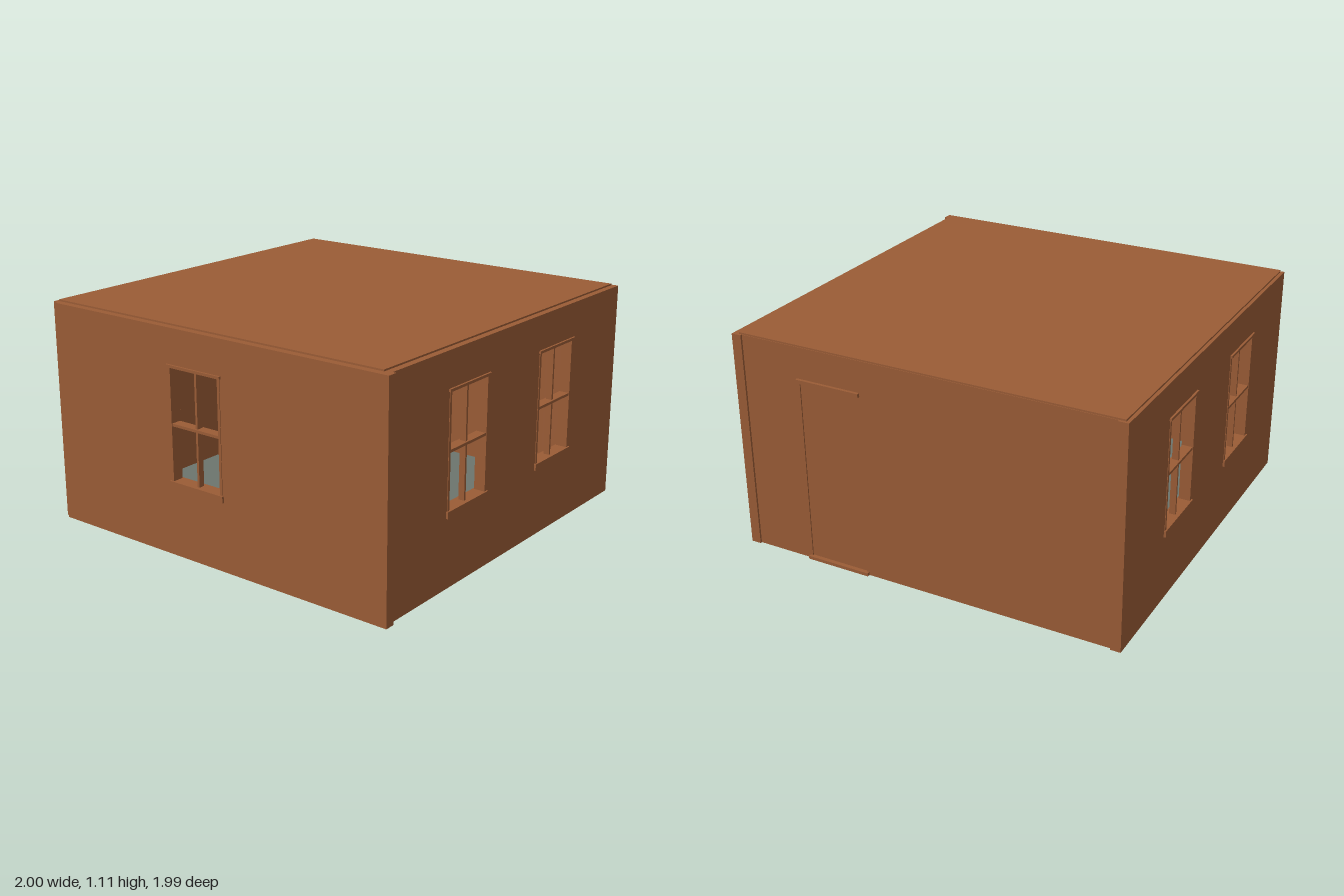
import * as THREE from 'three';

const H = 1.1, T = 0.05; // wall height and thickness

export function createModel() {
  const brown = new THREE.MeshStandardMaterial({ color: 0x9a5c36 });
  brown.name = 'brown wood';
  const grey = new THREE.MeshStandardMaterial({ color: 0x6c756d });
  grey.name = 'grey floor';

  // box given by its lower and upper corners
  function box(parent, name, x0, x1, y0, y1, z0, z1, mat = brown) {
    const m = new THREE.Mesh(new THREE.BoxGeometry(x1 - x0, y1 - y0, z1 - z0), mat);
    m.position.set((x0 + x1) / 2, (y0 + y1) / 2, (z0 + z1) / 2);
    m.name = name;
    parent.add(m);
  }

  // wall in the local xy plane, outer face at z = 0, thickness going to -z
  function wall(name, x0, x1, windows, door) {
    const g = new THREE.Group();
    g.name = name;
    const s = new THREE.Shape();
    s.moveTo(x0, 0);
    if (door !== undefined) {
      s.lineTo(door - 0.155, 0);
      s.lineTo(door - 0.155, 0.925);
      s.lineTo(door + 0.155, 0.925);
      s.lineTo(door + 0.155, 0);
    }
    s.lineTo(x1, 0);
    s.lineTo(x1, H);
    s.lineTo(x0, H);
    s.closePath();
    for (const c of windows) {
      const hole = new THREE.Path();
      hole.moveTo(c - 0.155, 0.36);
      hole.lineTo(c - 0.155, 0.925);
      hole.lineTo(c + 0.155, 0.925);
      hole.lineTo(c + 0.155, 0.36);
      hole.closePath();
      s.holes.push(hole);
    }
    const geo = new THREE.ExtrudeGeometry(s, { depth: T, bevelEnabled: false });
    geo.translate(0, 0, -T);
    const panel = new THREE.Mesh(geo, brown);
    panel.name = name + 'Panel';
    g.add(panel);
    windows.forEach((c) => addWindow(g, c));
    if (door !== undefined) addDoor(g, door);
    return g;
  }

  // frame, sill, head and crossed glazing bars
  function addWindow(parent, c) {
    const w = new THREE.Group();
    w.name = 'window';
    w.position.x = c;
    for (const s of [-1, 1]) {
      const a = s * 0.143, b = s * 0.157;
      box(w, 'windowJamb', Math.min(a, b), Math.max(a, b), 0.36, 0.925, -T - 0.003, 0.003);
    }
    box(w, 'windowHead', -0.163, 0.163, 0.917, 0.93, -T - 0.01, 0.01);
    box(w, 'windowSill', -0.163, 0.163, 0.34, 0.372, -T - 0.01, 0.01);
    box(w, 'verticalBar', -0.006, 0.006, 0.37, 0.92, -0.04, -0.01);
    box(w, 'horizontalBar', -0.145, 0.145, 0.638, 0.651, -0.05, 0);
    parent.add(w);
  }

  // door leaf, head moulding and threshold
  function addDoor(parent, c) {
    const d = new THREE.Group();
    d.name = 'door';
    d.position.x = c;
    box(d, 'doorLeaf', -0.155, 0.155, 0.012, 0.925, -T + 0.006, -0.006);
    box(d, 'doorHead', -0.168, 0.168, 0.925, 0.945, -T - 0.01, 0.015);
    box(d, 'doorThreshold', -0.168, 0.168, 0, 0.016, -T - 0.01, 0.015);
    parent.add(d);
  }

  const model = new THREE.Group();
  model.name = 'room';

  const front = wall('frontWall', -0.965, 1, [-0.065]);
  front.position.z = 0.985;

  const left = wall('leftWall', -0.935, 0.99, [-0.365, 0.385]);
  left.rotation.y = Math.PI / 2;
  left.position.x = 0.982;

  const right = wall('rightWall', -0.99, 0.968, [0.365, -0.385]);
  right.rotation.y = -Math.PI / 2;
  right.position.x = -0.992;

  const back = wall('backWall', -0.932, 0.942, [], -0.47);
  back.rotation.y = Math.PI;
  back.position.z = -0.98;

  model.add(front, left, right, back);

  // roof slab standing just proud of the walls, and the recessed floor
  box(model, 'roof', -0.975, 0.95, 1.07, 1.108, -0.977, 0.95);
  box(model, 'floor', -0.942, 0.932, 0.01, 0.03, -0.93, 0.935, grey);
  return model;
}
